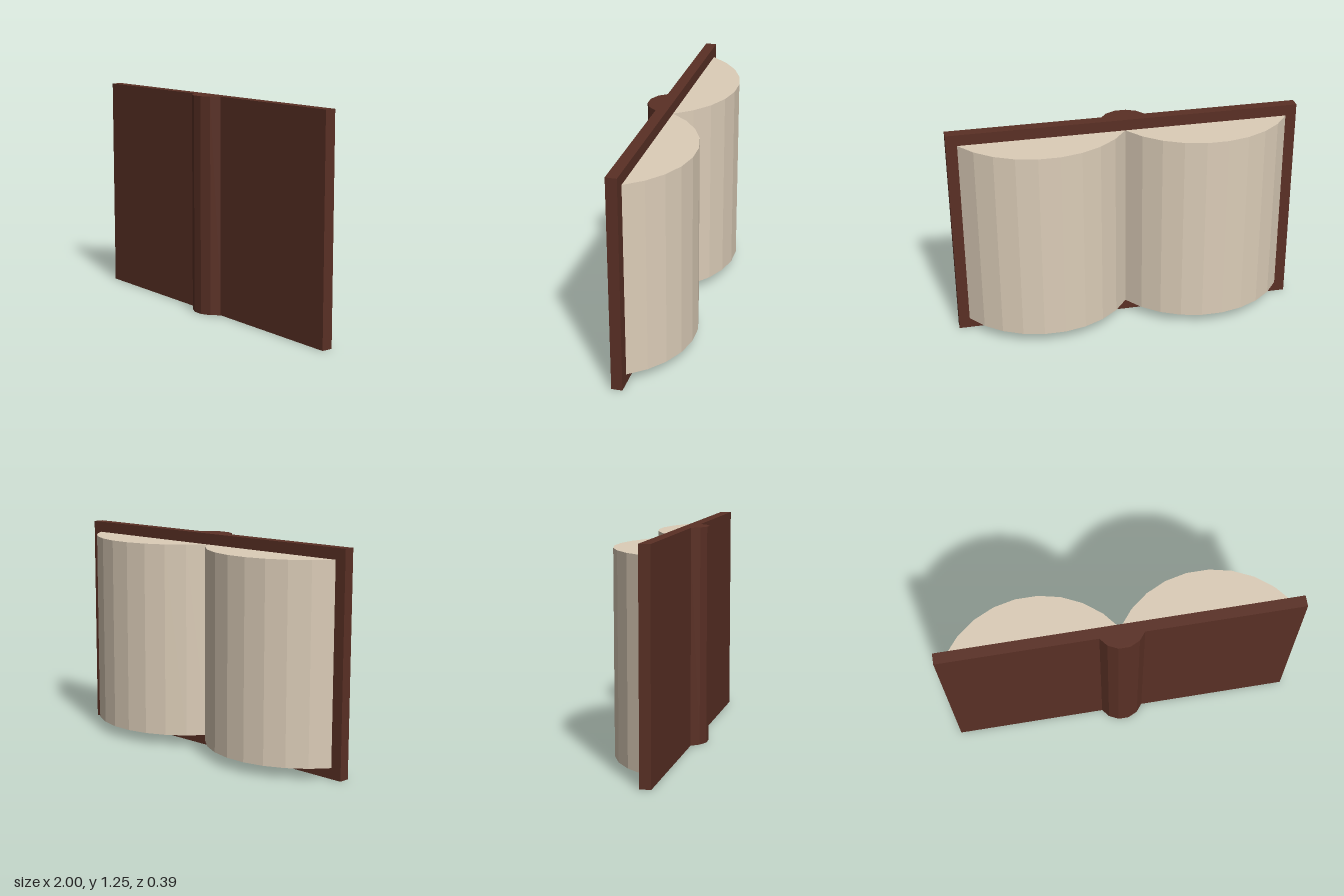
import * as THREE from 'three';

// Points of a faceted circular arc; each point is (x, -z) in plan
function arc(cx, cz, radius, halfAngle, segments, facing) {
  const points = [];
  for (let i = 0; i <= segments; i++) {
    const a = halfAngle * (2 * i / segments - 1);
    points.push(new THREE.Vector2(cx + radius * Math.sin(a), -cz - facing * radius * Math.cos(a)));
  }
  return points;
}

// Plan outline raised into an upright prism
function prism(name, points, bottom, height, material) {
  const geometry = new THREE.ExtrudeGeometry(new THREE.Shape(points), { depth: height, bevelEnabled: false });
  geometry.rotateX(-Math.PI / 2).translate(0, bottom, 0);
  const mesh = new THREE.Mesh(geometry, material);
  mesh.name = name;
  return mesh;
}

export function createModel() {
  const group = new THREE.Group();
  group.name = 'openBook';
  const leather = new THREE.MeshStandardMaterial({ color: 0x5a3025 });
  leather.name = 'brown leather';
  const paper = new THREE.MeshStandardMaterial({ color: 0xdccdb8 });
  paper.name = 'cream paper';

  // Flat open cover
  const cover = new THREE.Mesh(new THREE.BoxGeometry(2, 1.25, 0.0625), leather);
  cover.name = 'cover';
  cover.position.set(0, 0.625, 0.0925);
  group.add(cover);

  // Rounded spine on the front
  group.add(prism('spine', arc(0, 0.061, 0.1385, 1.128, 5, 1), 0, 1.25, leather));

  // Two arched page blocks on the back
  for (const [name, side] of [['leftPages', 1], ['rightPages', -1]]) {
    group.add(prism(name, arc(side * 0.4685, 0.352, 0.553, 1.012, 9, -1), 0.0625, 1.125, paper));
  }
  return group;
}
